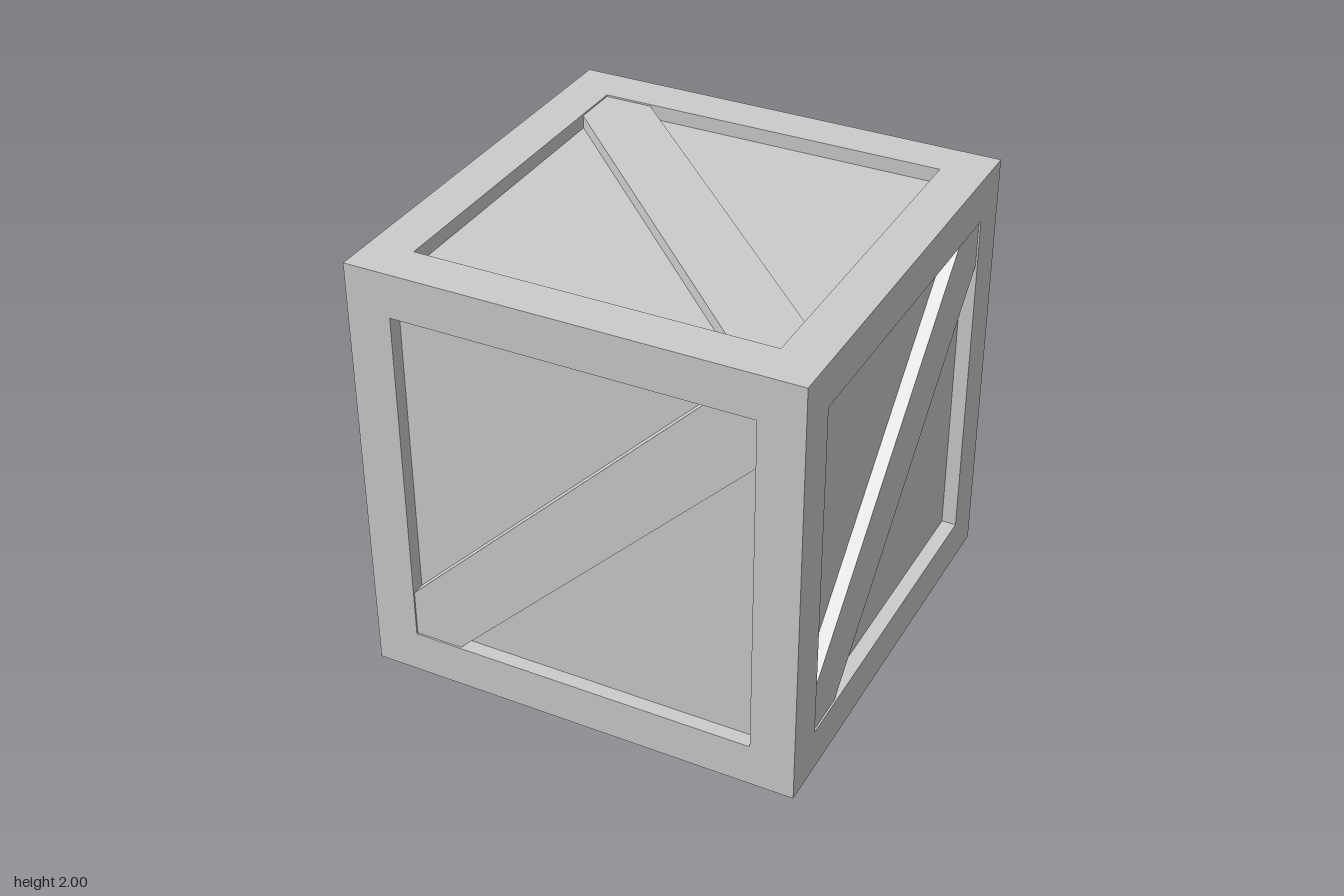
import * as THREE from 'three';

export function createModel() {
  const crate = new THREE.Group();
  crate.name = 'crate';
  const material = new THREE.MeshStandardMaterial({ color: 0xcccccc, flatShading: true });

  const add = (name, geometry, x = 0, y = 0, z = 0) => {
    const mesh = new THREE.Mesh(geometry, material);
    mesh.name = name;
    mesh.position.set(x, y, z);
    crate.add(mesh);
    return mesh;
  };

  const beam = 0.2;            // thickness of the frame beams
  const inner = 1 - beam;      // half-size of each opening
  const mid = 1 - beam / 2;    // beam centre line
  const panel = 0.933;         // distance of the panels from the centre
  const braceFace = 0.992;     // distance of the brace faces from the centre
  const half = 0.22;           // brace half-width measured along the frame

  // Frame: corner posts and the rails between them
  const post = new THREE.BoxGeometry(beam, 2, beam);
  const railX = new THREE.BoxGeometry(2 * inner, beam, beam);
  const railZ = new THREE.BoxGeometry(beam, beam, 2 * inner);
  for (const a of [-1, 1]) {
    for (const b of [-1, 1]) {
      add('cornerPost', post, a * mid, 1, b * mid);
      add('crossRail', railX, 0, 1 + a * mid, b * mid);
      add('sideRail', railZ, a * mid, 1 + b * mid, 0);
    }
  }

  // Recessed panels on all six sides
  add('panels', new THREE.BoxGeometry(2 * panel, 2 * panel, 2 * panel), 0, 1, 0);

  // Diagonal brace, clipped to the corners of the opening
  const outline = new THREE.Shape([
    [-inner, -inner], [-inner + half, -inner], [inner, inner - half],
    [inner, inner], [inner - half, inner], [-inner, -inner + half],
  ].map(([x, y]) => new THREE.Vector2(x, y)));
  const braceGeometry = new THREE.ExtrudeGeometry(outline, {
    depth: braceFace - panel, bevelEnabled: false,
  });
  braceGeometry.translate(0, 0, panel);

  // One brace per side; those on the lid and floor run along the other diagonal
  const q = Math.PI / 2;
  const sides = {
    frontBrace: [0, 0, 0], leftBrace: [0, q, 0],
    backBrace: [0, 2 * q, 0], rightBrace: [0, -q, 0],
    topBrace: [-q, 0, q], bottomBrace: [q, 0, q],
  };
  for (const [name, angles] of Object.entries(sides)) {
    add(name, braceGeometry, 0, 1, 0).rotation.set(...angles);
  }

  return crate;
}
